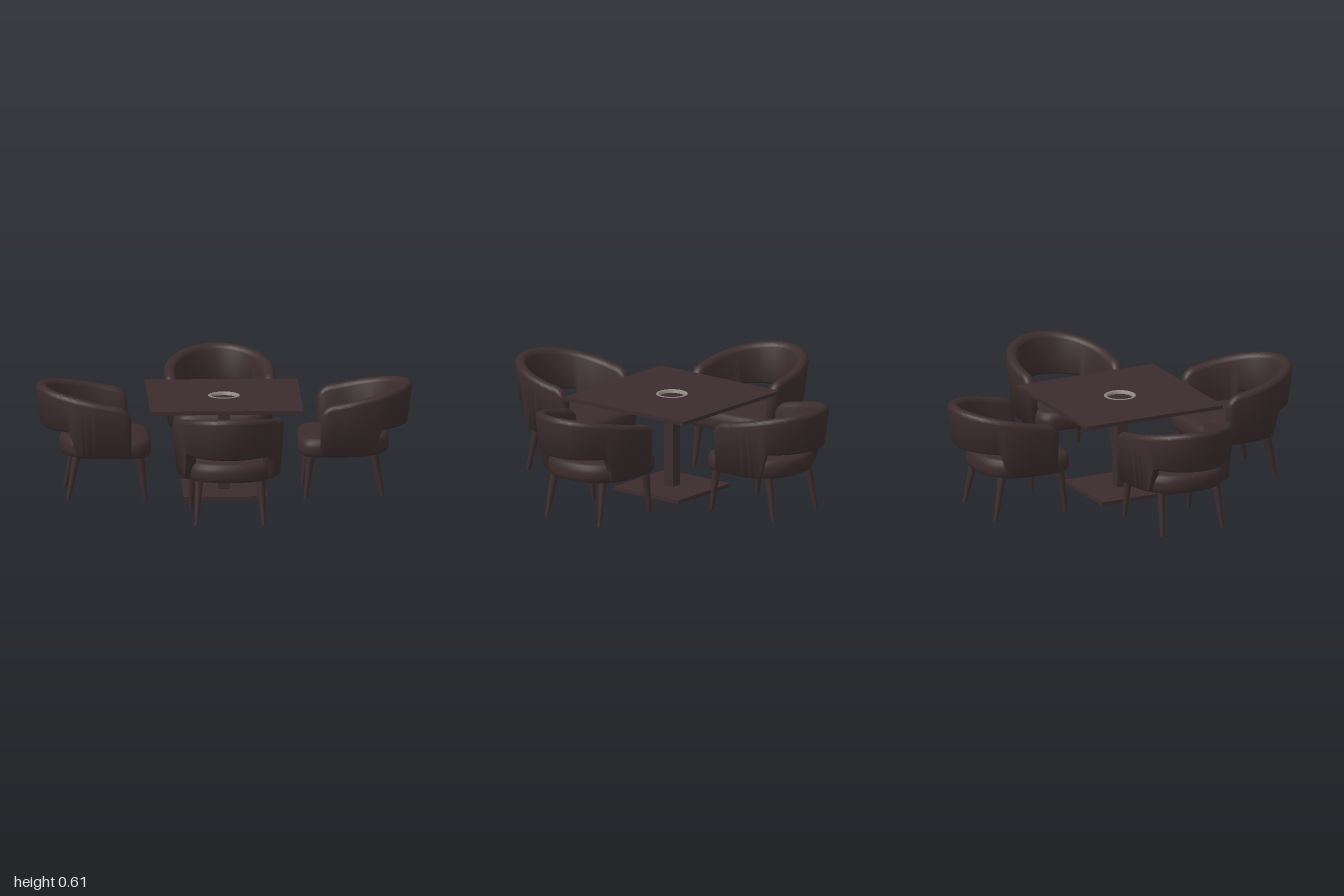
import * as THREE from 'three';
import { toCreasedNormals } from 'three/addons/utils/BufferGeometryUtils.js';

const brown = new THREE.MeshStandardMaterial({ color: 0x3b2c2c });
brown.name = 'dark brown';
const metal = new THREE.MeshStandardMaterial({ color: 0x8f877f });
metal.name = 'grey metal';

function mesh(name, geometry, material = brown) {
  const m = new THREE.Mesh(geometry, material);
  m.name = name;
  return m;
}

// Skin a series of closed rings of [x, y, z] points
function loft(rings, crease = 0.8) {
  const n = rings[0].length, index = [];
  for (let i = 0; i < rings.length - 1; i++) {
    for (let j = 0; j < n; j++) {
      const k = (j + 1) % n;
      const a = i * n + j, b = i * n + k, c = b + n, d = a + n;
      index.push(a, b, c, a, c, d);
    }
  }
  const g = new THREE.BufferGeometry();
  g.setAttribute('position', new THREE.Float32BufferAttribute(rings.flat(2), 3));
  g.setIndex(index);
  return toCreasedNormals(g, crease);
}

// Cushion: squarish at the front, round at the back, slightly domed
function seatGeometry() {
  const profile = [[0.001, 0.24], [0.96, 0.24], [0.985, 0.25], [1, 0.27], [1, 0.295],
    [0.985, 0.315], [0.95, 0.33], [0.88, 0.338], [0.6, 0.344], [0.001, 0.347]];
  const bend = (v, n) => Math.sign(v) * Math.abs(v) ** (2 / n);
  return loft(profile.map(([s, y]) => Array.from({ length: 64 }, (_, j) => {
    const t = (j / 64) * Math.PI * 2;
    const n = Math.sin(t) > 0 ? 5 : 2.3;
    return [0.255 * s * bend(Math.cos(t), n), y, 0.643 - 0.247 * s * bend(Math.sin(t), n)];
  })));
}

// Wraparound back and arms: a rounded section swept along a U, open below at the rear
function shellGeometry() {
  const rx = 0.273, rz = 0.333, z0 = 0.65, front = 0.51;
  const path = [];
  const arm = [0, 0.002, 0.008, 0.018, 0.032, 0.05, 0.075, 0.105];
  for (const d of arm) path.push({ x: rx, z: front + d, nx: 1, nz: 0 });
  for (let i = 0; i <= 72; i++) {
    const a = (i / 72) * Math.PI, c = Math.cos(a), s = Math.sin(a);
    const l = Math.hypot(c / rx, s / rz);
    path.push({ x: rx * c, z: z0 + rz * s, nx: c / rx / l, nz: s / rz / l });
  }
  for (const d of [...arm].reverse()) path.push({ x: -rx, z: front + d, nx: -1, nz: 0 });

  return loft(path.map(({ x, z, nx, nz }) => {
    const d = z - front;
    const half = 0.032 * Math.sqrt(1 - (1 - Math.min(d / 0.032, 1)) ** 2);
    const top = z > 0.6 ? 0.535 + (z - 0.6) * 0.2
      : 0.45 + 0.085 * Math.sqrt(1 - ((0.6 - z) / 0.09) ** 2);
    const bottom = 0.245 + 0.135 * THREE.MathUtils.smoothstep(z, 0.8, 0.845);
    const lean = 0.08 + 0.06 * nz;
    return Array.from({ length: 20 }, (_, j) => {
      const t = ((j + 0.5) / 20) * Math.PI * 2, s = Math.sin(t);
      const y = s > 0 ? top - half * (1 - s) : bottom + half * 0.5 * (1 + s);
      const o = half * Math.cos(t) - lean * (0.58 - y);
      return [x + nx * o, y, z + nz * o];
    });
  }), 1);
}

function legBetween(name, top, bottom) {
  const a = new THREE.Vector3(...top), b = new THREE.Vector3(...bottom);
  const leg = mesh(name, new THREE.CylinderGeometry(0.024, 0.011, a.distanceTo(b), 16));
  leg.position.copy(a).add(b).multiplyScalar(0.5);
  leg.quaternion.setFromUnitVectors(new THREE.Vector3(0, 1, 0), a.sub(b).normalize());
  return leg;
}

// Chair standing on the +z side, facing the table
function createChair(seat, shell) {
  const chair = new THREE.Group();
  chair.name = 'chair';
  chair.add(mesh('seat', seat), mesh('backrest', shell));
  for (const s of [1, -1]) {
    chair.add(legBetween('frontLeg', [s * 0.185, 0.25, 0.462], [s * 0.195, 0.002, 0.432]));
    chair.add(legBetween('backLeg', [s * 0.165, 0.25, 0.8], [s * 0.182, 0.002, 0.85]));
  }
  return chair;
}

function createTable() {
  const table = new THREE.Group();
  table.name = 'table';

  // Top with a round hole for the inset
  const h = 0.413;
  const shape = new THREE.Shape([[-h, -h], [h, -h], [h, h], [-h, h]].map(p => new THREE.Vector2(...p)));
  shape.holes.push(new THREE.Path().absarc(0, 0, 0.084, 0, Math.PI * 2, true));
  const topGeo = new THREE.ExtrudeGeometry(shape, { depth: 0.02, bevelEnabled: false, curveSegments: 40 });
  topGeo.rotateX(-Math.PI / 2).translate(0, 0.515, 0);
  table.add(mesh('tableTop', topGeo));

  // Metal ring sloping into a shallow recess
  const ring = [[0.066, 0.518], [0.068, 0.53], [0.074, 0.537], [0.082, 0.538], [0.087, 0.535], [0.084, 0.516]];
  const ringGeo = new THREE.LatheGeometry(ring.map(p => new THREE.Vector2(...p)).reverse(), 40);
  const ringMesh = mesh('insetRing', ringGeo, metal.clone());
  ringMesh.material = metal;
  metal.side = THREE.DoubleSide;
  const floor = mesh('insetFloor', new THREE.CylinderGeometry(0.084, 0.084, 0.006, 40));
  floor.position.y = 0.518;

  // Pedestal
  const column = mesh('column', new THREE.BoxGeometry(0.06, 0.492, 0.06));
  column.position.y = 0.27;
  const base = mesh('base', new THREE.BoxGeometry(0.45, 0.02, 0.45));
  base.position.y = 0.015;
  table.add(ringMesh, floor, column, base);
  return table;
}

export function createModel() {
  const model = new THREE.Group();
  model.name = 'diningSet';
  model.add(createTable());
  const seat = seatGeometry(), shell = shellGeometry();
  for (let i = 0; i < 4; i++) {
    const chair = createChair(seat, shell);
    chair.rotation.y = (i * Math.PI) / 2;
    model.add(chair);
  }
  return model;
}
